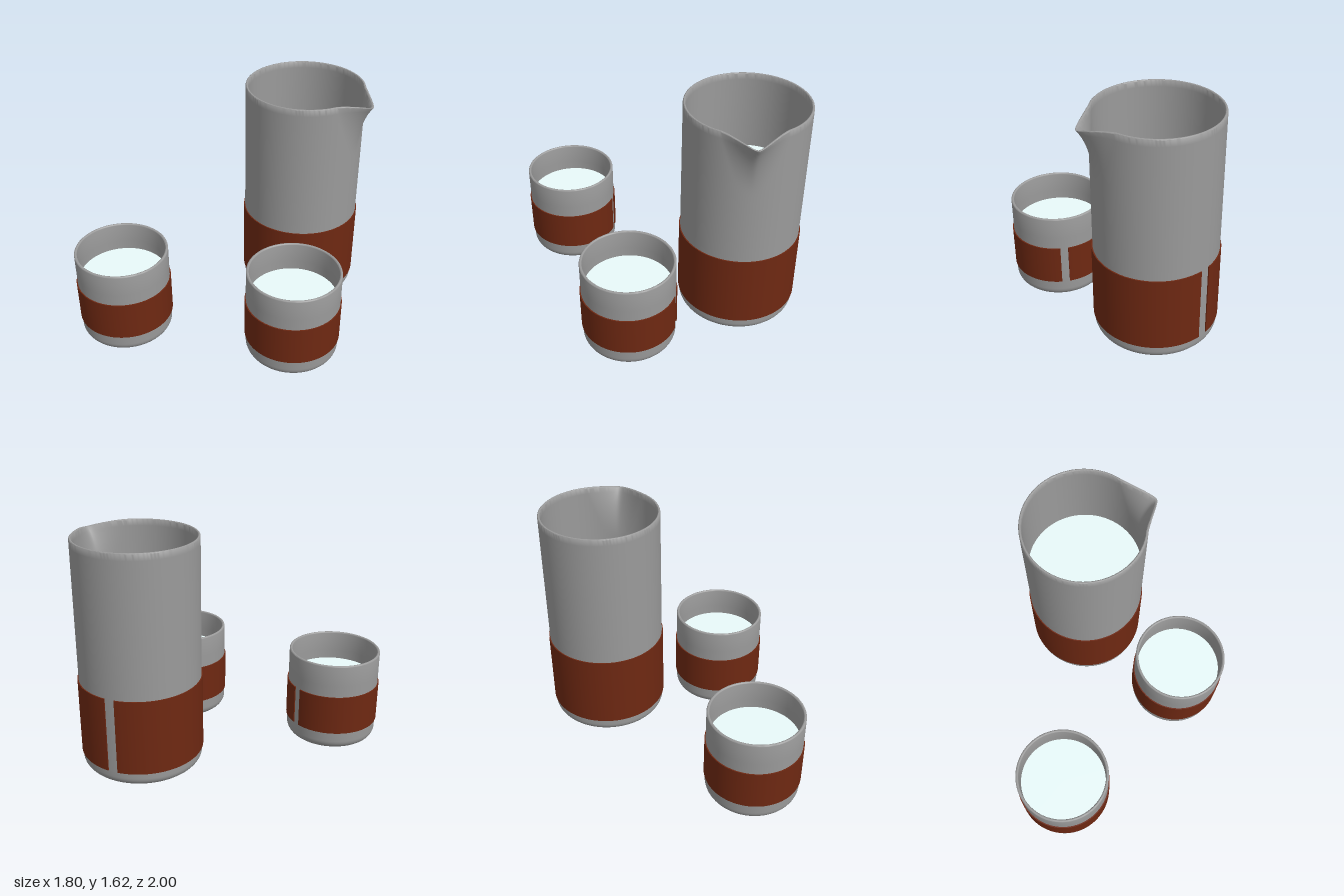
import * as THREE from 'three';
import { toCreasedNormals } from 'three/addons/utils/BufferGeometryUtils.js';

const rad = THREE.MathUtils.degToRad;
const glassMat = new THREE.MeshStandardMaterial({ color: 0x9a9a9a });
const bandMat = new THREE.MeshStandardMaterial({ color: 0x6e2812 });
const waterMat = new THREE.MeshStandardMaterial({ color: 0xe9fafa });

function mesh(name, geometry, material) {
  const m = new THREE.Mesh(geometry, material);
  m.name = name;
  return m;
}

// Points of an arc in the profile plane (angles in degrees)
function arc(cx, cy, r, from, to, steps) {
  return Array.from({ length: steps + 1 }, (_, i) => {
    const a = rad(from + ((to - from) * i) / steps);
    return new THREE.Vector2(cx + r * Math.cos(a), cy + r * Math.sin(a));
  });
}

// Straight wall split into rows, ends excluded
function wall(r, y0, y1, rows) {
  return Array.from({ length: rows - 1 }, (_, i) => new THREE.Vector2(r, y0 + ((y1 - y0) * (i + 1)) / rows));
}

// Pull a softly pointed pouring lip out of the +x side of the rim
function pullSpout(geo, height) {
  const pos = geo.attributes.position;
  const soft = 0.12;
  for (let i = 0; i < pos.count; i++) {
    const x = pos.getX(i), y = pos.getY(i), z = pos.getZ(i);
    const t = (y - (height - 0.42)) / 0.42;
    if (t <= 0 || x <= 0) continue;
    const u = Math.atan2(z, x) / rad(10 + 18 * t);
    const g = Math.pow(Math.max(0, 1 + soft - Math.hypot(u, soft)), 1.6);
    pos.setX(i, x + 0.108 * t * t * g);
    pos.setY(i, y - 0.042 * Math.pow(t, 4) * g);
  }
}

// Thick-walled vessel with a rounded foot and rim
function glass({ radius, height, thickness, foot, spout }) {
  const inner = radius - thickness, floor = 0.04, lip = thickness / 2;
  const innerFoot = foot - thickness / 2;
  const rows = spout ? 40 : 4;
  const profile = [
    new THREE.Vector2(0, 0),
    ...arc(radius - foot, foot, foot, -90, 0, 8),
    ...wall(radius, foot, height - lip, rows),
    ...arc(radius - lip, height - lip, lip, 0, 180, 6),
    ...wall(inner, height - lip, floor + innerFoot, rows),
    ...arc(inner - innerFoot, floor + innerFoot, innerFoot, 0, -90, 8),
    new THREE.Vector2(0, floor),
  ];
  const geo = new THREE.LatheGeometry(profile, spout ? 240 : 96);
  if (spout) pullSpout(geo, height);
  return toCreasedNormals(geo, 0.8);
}

// Sleeve wrapped around the vessel, leaving a narrow slit at the given angle
function sleeve(inner, outer, y0, y1, slitAngle, slitWidth) {
  const a0 = rad(slitAngle + slitWidth / 2), a1 = rad(slitAngle - slitWidth / 2 + 360);
  const shape = new THREE.Shape();
  shape.absarc(0, 0, outer, a0, a1, false);
  shape.absarc(0, 0, inner, a1, a0, true);
  const geo = new THREE.ExtrudeGeometry(shape, { depth: y1 - y0, bevelEnabled: false, curveSegments: 96 });
  geo.rotateX(-Math.PI / 2).translate(0, y0, 0);
  return toCreasedNormals(geo, 0.6);
}

// Liquid filling the vessel up to a level, its edge sunk slightly into the wall
function liquid(r, level) {
  const points = [[0, 0.042], [r - 0.07, 0.042], [r, 0.12], [r, level], [0, level]];
  return toCreasedNormals(new THREE.LatheGeometry(points.map(p => new THREE.Vector2(...p)), 96), 0.4);
}

function vessel(name, x, z, o) {
  const group = new THREE.Group();
  group.name = name;
  group.position.set(x, 0, z);
  group.add(
    mesh(name + 'Glass', glass(o), glassMat),
    mesh(name + 'Sleeve', sleeve(o.radius - 0.003, o.radius + 0.008, ...o.band, o.slit, 9.5), bandMat),
    mesh(name + 'Water', liquid(o.radius - o.thickness + 0.003, o.level), waterMat),
  );
  return group;
}

export function createModel() {
  const model = new THREE.Group();
  model.name = 'carafeSet';

  const carafe = {
    radius: 0.419, height: 1.62, thickness: 0.018, foot: 0.065,
    band: [0.105, 0.64], slit: 111, level: 1.05, spout: true,
  };
  const cup = {
    radius: 0.325, height: 0.665, thickness: 0.02, foot: 0.07,
    band: [0.14, 0.425], slit: 77, level: 0.45, spout: false,
  };

  model.add(
    vessel('carafe', 0.155, -0.573, carafe),
    vessel('rightCup', -0.565, 0.666, cup),
    vessel('leftCup', 0.565, 0.215, cup),
  );
  return model;
}
